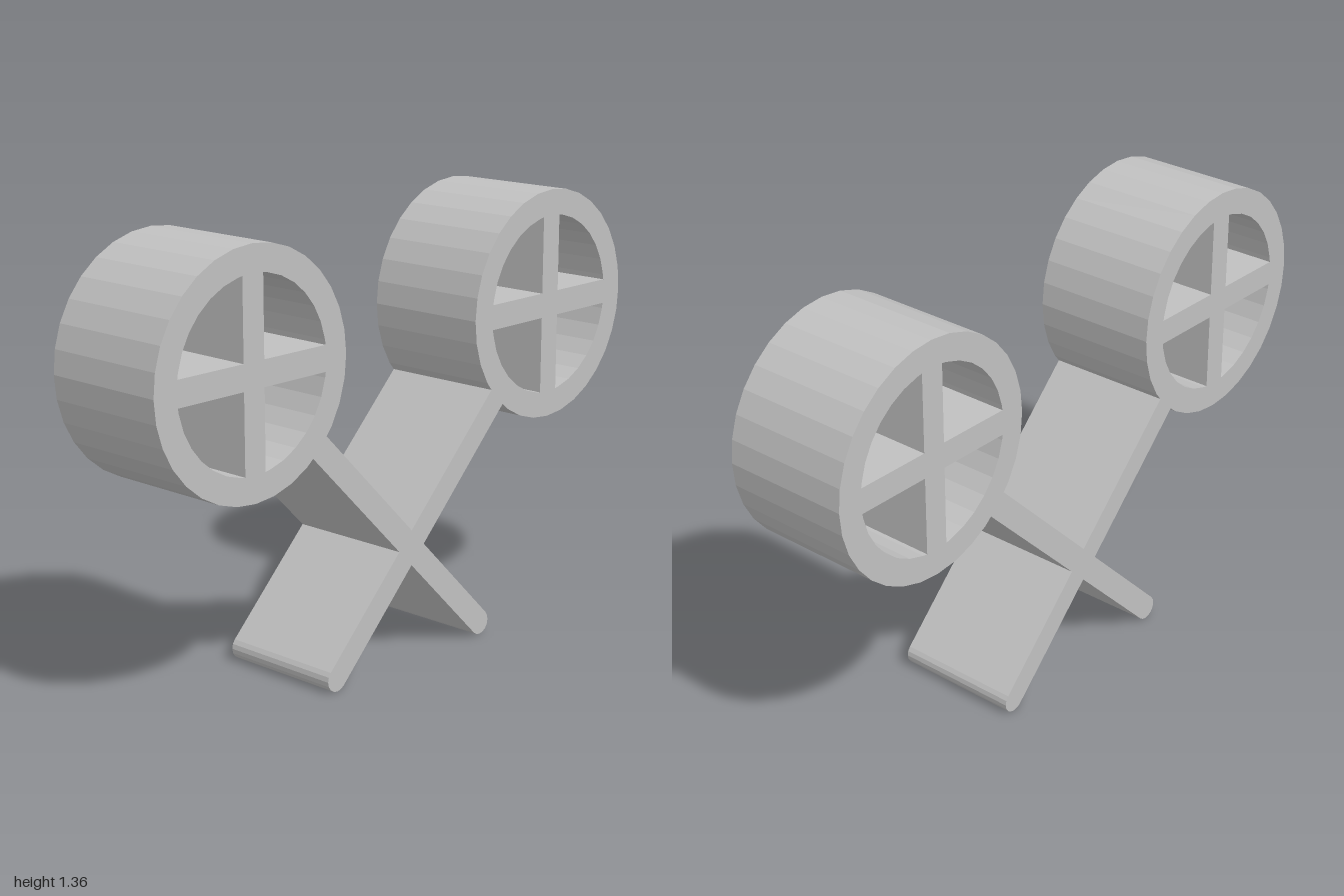
import * as THREE from 'three';

const DEPTH = 0.4;
const HALF = 0.0385;               // half thickness of spokes and bars
const OUTER = 0.359, INNER = 0.279; // ring radii
const CX = 0.641, CY = 1.002;      // ring centre
const CROSS_Y = CY - CX;           // where the 45 degree bars cross
const STEP = Math.PI / 16;         // 32-sided circles

const polar = (r, a) => new THREE.Vector2(r * Math.cos(a), r * Math.sin(a));

function extrude(shape) {
  const g = new THREE.ExtrudeGeometry(shape, { depth: DEPTH, bevelEnabled: false });
  return g.translate(0, 0, -DEPTH / 2);
}

// Ring with four quadrant openings, leaving a cross of spokes
function wheelGeometry() {
  const shape = new THREE.Shape(Array.from({ length: 32 }, (_, i) => polar(OUTER, i * STEP)));
  const start = Math.asin(HALF / INNER);
  const arc = [start];
  for (let i = 1; i < 8; i++) arc.push(i * STEP);
  arc.push(Math.PI / 2 - start);
  for (let q = 0; q < 4; q++) {
    const turn = q * Math.PI / 2;
    const pts = [polar(HALF * Math.SQRT2, turn + Math.PI / 4), ...arc.map(a => polar(INNER, a + turn))];
    shape.holes.push(new THREE.Path(pts.reverse()));
  }
  return extrude(shape);
}

// X of two bars: square ends sunk into the rings, rounded feet
function crossGeometry() {
  const upper = CX * Math.SQRT2 - OUTER + 0.005;
  const lower = (CROSS_Y - HALF) * Math.SQRT2;
  const pts = [];
  for (let k = 0; k < 4; k++) {
    const a = Math.PI / 4 + k * Math.PI / 2;
    pts.push(polar(HALF * Math.SQRT2, a - Math.PI / 4));
    const foot = k >= 2, n = foot ? 8 : 1;
    const end = polar(foot ? lower : upper, a);
    for (let i = 0; i <= n; i++) {
      pts.push(polar(HALF, a - Math.PI / 2 + Math.PI * i / n).add(end));
    }
  }
  return extrude(new THREE.Shape(pts));
}

export function createModel() {
  const model = new THREE.Group();
  const grey = new THREE.MeshStandardMaterial({ color: 0xc0c0c0 });
  grey.name = 'grey';
  grey.flatShading = true;

  const bars = new THREE.Mesh(crossGeometry(), grey);
  bars.name = 'crossedBars';
  bars.position.y = CROSS_Y;
  model.add(bars);

  const wheel = wheelGeometry();
  for (const side of [1, -1]) {
    const ring = new THREE.Mesh(wheel, grey);
    ring.name = side > 0 ? 'leftSpokedRing' : 'rightSpokedRing';
    ring.position.set(side * CX, CY, 0);
    model.add(ring);
  }
  return model;
}
